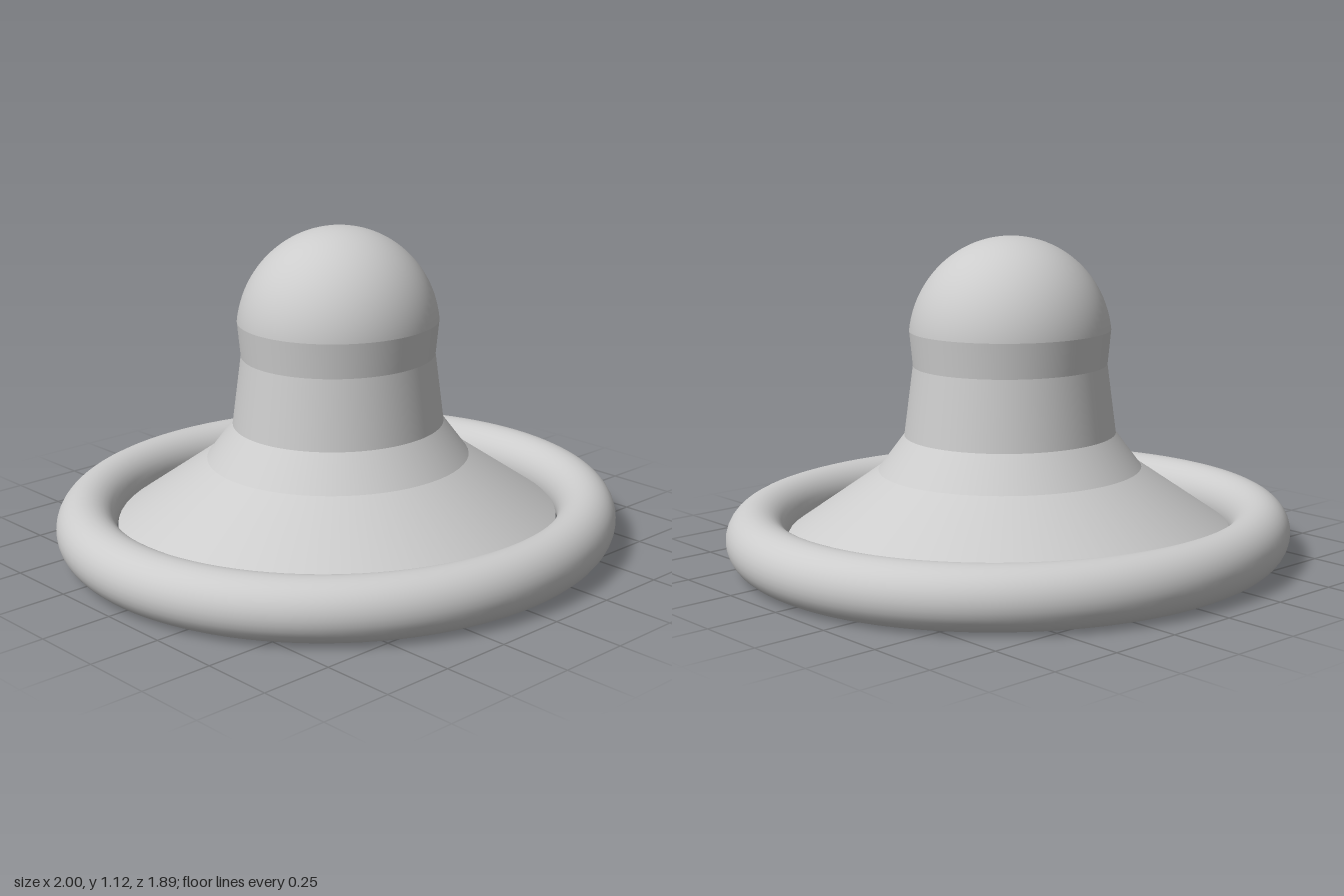
import * as THREE from 'three';

export function createModel() {
  const model = new THREE.Group();
  const grey = new THREE.MeshStandardMaterial({ color: 0xcccccc, side: THREE.DoubleSide });
  grey.name = 'light grey';
  const depth = 0.945; // the whole form is slightly oval

  const add = (name, geometry) => {
    geometry.scale(1, 1, depth);
    const mesh = new THREE.Mesh(geometry, grey);
    mesh.name = name;
    model.add(mesh);
  };

  // Thick rounded rim resting on the ground
  const rim = new THREE.TorusGeometry(0.895, 0.105, 32, 96);
  rim.rotateX(Math.PI / 2);
  rim.translate(0, 0.105, 0);
  add('rim', rim);

  // Open hollow bands, each with crisp borders: name, lower radius, lower y, upper radius, upper y
  const bands = [
    ['skirtLip', 0.785, 0.088, 0.785, 0.105],
    ['skirt', 0.785, 0.105, 0.467, 0.32],
    ['flare', 0.467, 0.32, 0.375, 0.44],
    ['neck', 0.375, 0.44, 0.343, 0.68],
    ['collar', 0.343, 0.68, 0.355, 0.8],
  ];
  for (const [name, r0, y0, r1, y1] of bands) {
    const band = new THREE.CylinderGeometry(r1, r0, y1 - y0, 64, 1, true);
    band.translate(0, (y0 + y1) / 2, 0);
    add(name, band);
  }

  // Rounded cap, a sphere cut where it meets the collar
  const radius = 0.357, centreY = 0.763;
  const cap = new THREE.SphereGeometry(radius, 64, 24, 0, Math.PI * 2, 0, Math.acos((0.8 - centreY) / radius));
  cap.translate(0, centreY, 0);
  add('dome', cap);

  return model;
}
